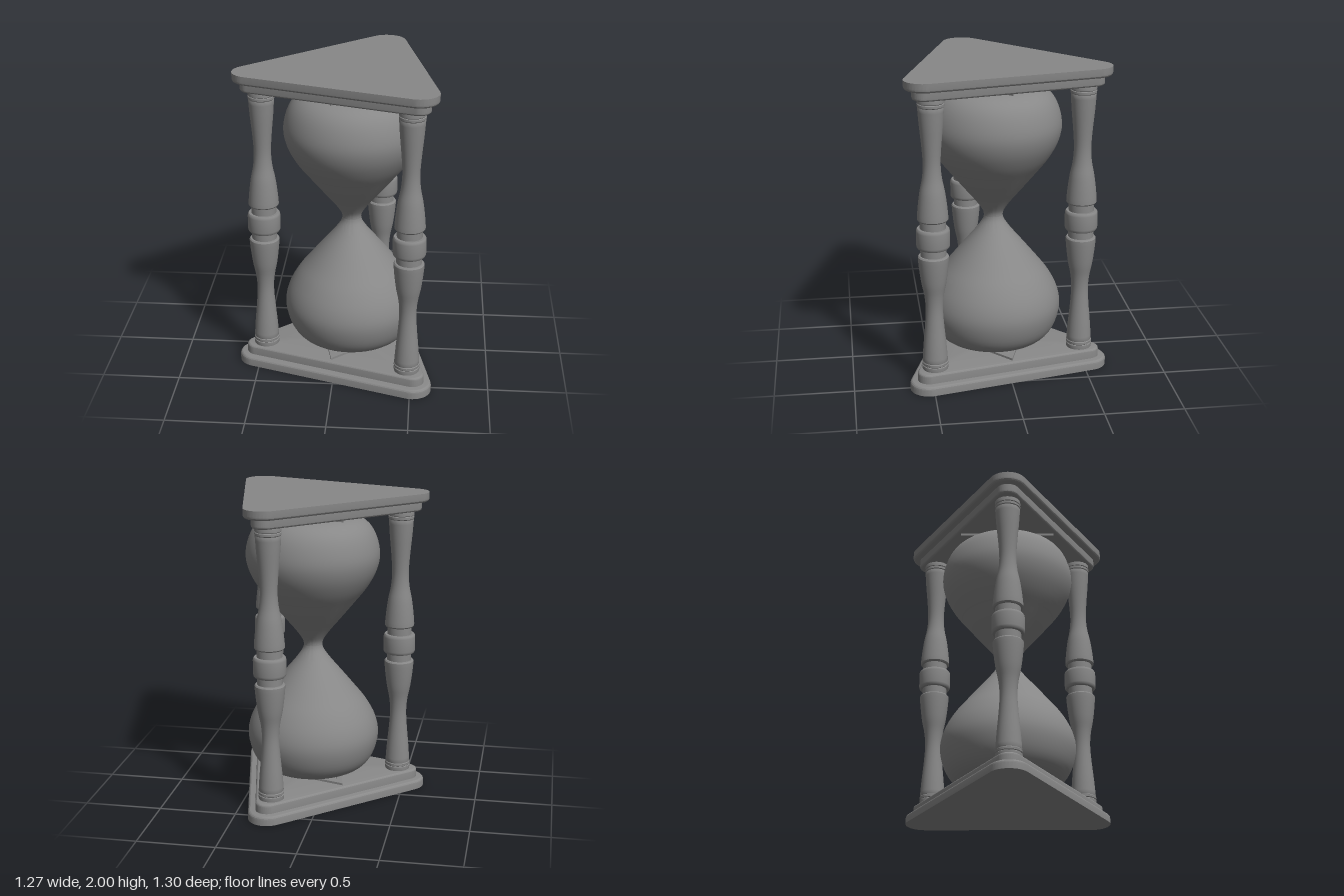
import * as THREE from 'three';
import { toCreasedNormals } from 'three/addons/utils/BufferGeometryUtils.js';

const AXIS_X = 0.095, AXIS_Z = 0.066; // hourglass axis
const TURN = THREE.MathUtils.degToRad(47.7); // direction of the first corner
const THIRD = Math.PI * 2 / 3;
const CORNER = 0.622; // axis to the centre of a plate's corner arc
const ARC_STEPS = 12;

const material = new THREE.MeshStandardMaterial({ color: 0x888888 });

function mesh(geometry, name, crease = 0.6) {
  const m = new THREE.Mesh(toCreasedNormals(geometry, crease), material);
  m.name = name;
  return m;
}

// Stack of rounded-triangle rings [corner distance, corner radius, y], bottom to top
function triangularStack(rings) {
  const positions = [], index = [];
  const count = 3 * (ARC_STEPS + 1);
  rings.forEach(([d, r, y], k) => {
    for (let i = 0; i < 3; i++) {
      const a = TURN + i * THIRD;
      for (let j = 0; j <= ARC_STEPS; j++) {
        const b = a + (j / ARC_STEPS - 0.5) * THIRD;
        positions.push(d * Math.cos(a) + r * Math.cos(b), y, d * Math.sin(a) + r * Math.sin(b));
      }
    }
    if (k === 0) return;
    for (let i = 0; i < count; i++) {
      const next = (i + 1) % count, low = (k - 1) * count, high = k * count;
      index.push(low + i, high + i, low + next, low + next, high + i, high + next);
    }
  });
  const g = new THREE.BufferGeometry();
  g.setAttribute('position', new THREE.Float32BufferAttribute(positions, 3));
  g.setIndex(index);
  return g;
}

// Plate with a flat outer face and a rounded rim on the side facing the glass
function plateRings(radius, y0, y1, bevel) {
  const rings = [[0, 0, y0], [CORNER, radius, y0]];
  for (let i = 0; i <= 4; i++) {
    const a = i / 4 * Math.PI / 2;
    rings.push([CORNER, radius - bevel * (1 - Math.cos(a)), y1 - bevel * (1 - Math.sin(a))]);
  }
  return [...rings, [0, 0, y1]];
}

// Sharp-cornered triangle pointing at the middles of the plate's sides
function trianglePoints(d) {
  return [0, 1, 2].map((i) => {
    const a = TURN + Math.PI + i * THIRD;
    return new THREE.Vector2(d * Math.cos(a), d * Math.sin(a));
  });
}

const toPoints = (list) => list.map(([r, y]) => new THREE.Vector2(r, y));
const smooth = (list, n) => new THREE.SplineCurve(toPoints(list)).getPoints(n);

// Lower half profile mirrored about y = 1
function mirroredLathe(half, sides) {
  const upper = half.map((p) => new THREE.Vector2(p.x, 2 - p.y)).reverse();
  if (upper[0].distanceTo(half[half.length - 1]) < 1e-5) upper.shift();
  return new THREE.LatheGeometry([...half, ...upper], sides);
}

function createEnd(name, top) {
  const end = new THREE.Group();
  end.name = name;
  const place = (rings) => (top ? rings.map(([d, r, y]) => [d, r, 2 - y]).reverse() : rings);
  end.add(
    mesh(triangularStack(place(plateRings(0.122, 0, 0.06, 0.022))), 'outerPlate', 0.25),
    mesh(triangularStack(place(plateRings(0.074, 0.058, 0.122, 0.018))), 'innerPlate', 0.25),
  );
  // Thin triangular frame holding the glass
  const frame = new THREE.Shape(trianglePoints(0.36));
  frame.holes.push(new THREE.Path(trianglePoints(0.29).reverse()));
  const seat = new THREE.ExtrudeGeometry(frame, { depth: 0.015, bevelEnabled: false });
  seat.rotateX(Math.PI / 2).translate(0, top ? 1.879 : 0.136, 0);
  end.add(mesh(seat, 'glassSeat'));
  return end;
}

export function createModel() {
  const model = new THREE.Group();
  model.name = 'hourglass';
  model.position.set(AXIS_X, 0, AXIS_Z);

  model.add(createEnd('base', false), createEnd('top', true));

  // Glass bulbs
  const bulb = smooth([
    [0, 0.135], [0.12, 0.136], [0.22, 0.142], [0.33, 0.177], [0.398, 0.255], [0.432, 0.38],
    [0.415, 0.49], [0.358, 0.6], [0.28, 0.7], [0.19, 0.81], [0.115, 0.9], [0.07, 0.965], [0.06, 1],
  ], 48);
  model.add(mesh(mirroredLathe(bulb, 64), 'glass', 1));

  // Turned columns
  const foot = toPoints([
    [0, 0.118], [0.08, 0.118], [0.082, 0.13], [0.082, 0.148], [0.078, 0.152],
    [0.082, 0.156], [0.082, 0.17], [0.078, 0.175],
  ]);
  const shaft = smooth([
    [0.08, 0.18], [0.073, 0.28], [0.06, 0.42], [0.054, 0.53], [0.061, 0.62],
    [0.077, 0.7], [0.088, 0.78], [0.094, 0.84], [0.096, 0.868],
  ], 24);
  const collar = toPoints([
    [0.096, 0.878], [0.09, 0.886], [0.08, 0.887], [0.08, 0.936],
    [0.096, 0.936], [0.102, 0.944], [0.104, 0.956],
  ]);
  const column = mirroredLathe([...foot, ...shaft, ...collar], 32);
  for (let i = 0; i < 3; i++) {
    const a = TURN + i * THIRD;
    const m = mesh(column, 'column' + (i + 1));
    m.position.set(0.567 * Math.cos(a), 0, 0.567 * Math.sin(a));
    model.add(m);
  }

  const root = new THREE.Group();
  root.name = 'model';
  root.add(model);
  return root;
}
